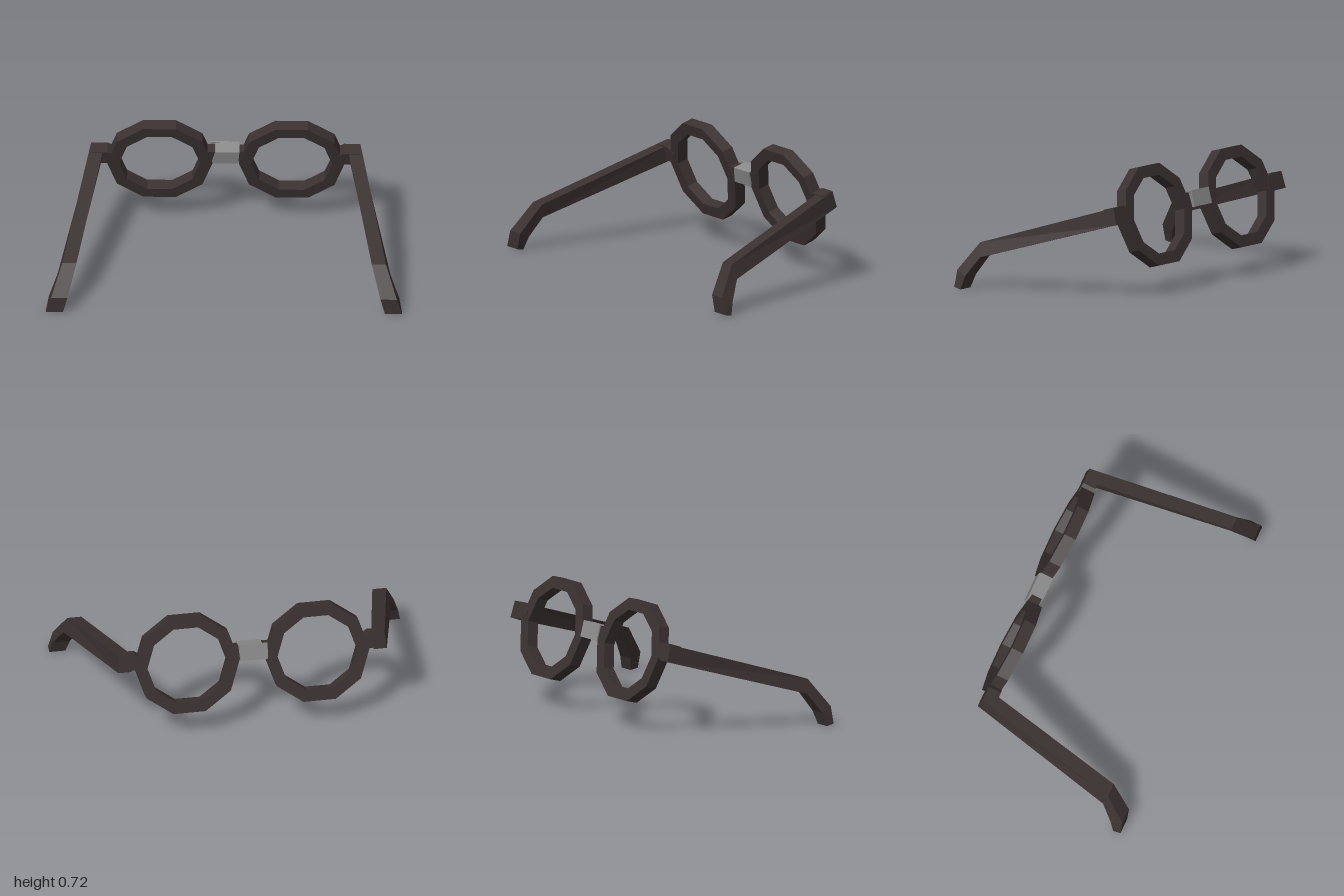
import * as THREE from 'three';

const TILT = Math.PI / 12;

export function createModel() {
  const model = new THREE.Group();
  model.name = 'spectacles';
  const frameMat = new THREE.MeshStandardMaterial({ name: 'dark brown frame', color: 0x3a3030 });
  const tapeMat = new THREE.MeshStandardMaterial({ name: 'grey tape', color: 0x8a8a8a });

  const add = (parent, name, geometry, material) => {
    const mesh = new THREE.Mesh(geometry, material);
    mesh.name = name;
    parent.add(mesh);
    return mesh;
  };
  // Flat outline extruded between two z values
  const slab = (points, z0, z1, hole) => {
    const shape = new THREE.Shape(points);
    if (hole) shape.holes.push(new THREE.Path(hole));
    const geo = new THREE.ExtrudeGeometry(shape, { depth: z1 - z0, bevelEnabled: false });
    return geo.translate(0, 0, z0);
  };
  const points = (list) => list.map(([x, y]) => new THREE.Vector2(x, y));
  const decagon = (r) => Array.from({ length: 10 }, (_, i) =>
    new THREE.Vector2(r * Math.cos(i * Math.PI / 5), r * Math.sin(i * Math.PI / 5)));

  // Tilted front: rims, hinges, bridge and tape
  const front = new THREE.Group();
  front.name = 'frontFrame';
  front.position.set(0, 0.4365, -0.413);
  front.rotation.x = TILT;
  model.add(front);

  for (const side of [1, -1]) {
    const label = side > 0 ? 'left' : 'right';
    const rim = add(front, label + 'Rim', slab(decagon(0.297), -0.035, 0.035, decagon(0.228)), frameMat);
    rim.position.x = side * 0.371;
    const hinge = points([[0.62, 0.0], [0.7, 0.0], [0.755, 0.04], [0.755, 0.09], [0.665, 0.09], [0.62, 0.06]]
      .map(([x, y]) => [side * x, y]));
    add(front, label + 'Hinge', slab(hinge, -0.038, 0.038), frameMat);
    add(model, label + 'Temple', templeGeometry(side), frameMat);
  }

  const bridge = add(front, 'bridge', new THREE.BoxGeometry(0.22, 0.08, 0.06), frameMat);
  bridge.position.set(0, 0.045, -0.004);
  add(front, 'bridgeTape', slab(points([[-0.08, -0.001], [0.07, -0.001], [0.078, 0.091], [-0.058, 0.091]]),
    -0.043, 0.034), tapeMat);
  const flap = add(front, 'tapeBackFlap', new THREE.BoxGeometry(0.158, 0.094, 0.008), tapeMat);
  flap.position.set(-0.008, 0.045, -0.046);

  return model;
}

// Bent temple arm lofted through four-cornered sections
function templeGeometry(side) {
  // each row: top [y, z, outer x, inner x], bottom [y, z, outer x, inner x]
  const sections = [
    [[0.532, -0.427, 0.757, 0.68], [0.438, -0.452, 0.765, 0.69]],
    [[0.265, 0.41, 0.91, 0.83], [0.185, 0.39, 0.935, 0.848]],
    [[0.105, 0.525, 0.972, 0.88], [0.075, 0.46, 0.985, 0.885]],
    [[0.01, 0.525, 1.0, 0.905], [0.0, 0.48, 1.0, 0.91]],
  ];
  const corners = sections.map(([t, b]) => [
    [t[2], t[0], t[1]], [t[3], t[0], t[1]], [b[3], b[0], b[1]], [b[2], b[0], b[1]],
  ]);
  const pos = [];
  const tri = (a, b, c) => {
    for (const p of side > 0 ? [a, b, c] : [a, c, b]) pos.push(side * p[0], p[1], p[2]);
  };
  for (let s = 0; s < corners.length - 1; s++) {
    for (let i = 0; i < 4; i++) {
      const j = (i + 1) % 4, p = corners[s], q = corners[s + 1];
      tri(p[i], p[j], q[j]);
      tri(p[i], q[j], q[i]);
    }
  }
  const a = corners[0], e = corners[corners.length - 1];
  tri(a[0], a[3], a[2]);
  tri(a[0], a[2], a[1]);
  tri(e[0], e[1], e[2]);
  tri(e[0], e[2], e[3]);
  const geo = new THREE.BufferGeometry();
  geo.setAttribute('position', new THREE.Float32BufferAttribute(pos, 3));
  geo.computeVertexNormals();
  return geo;
}
